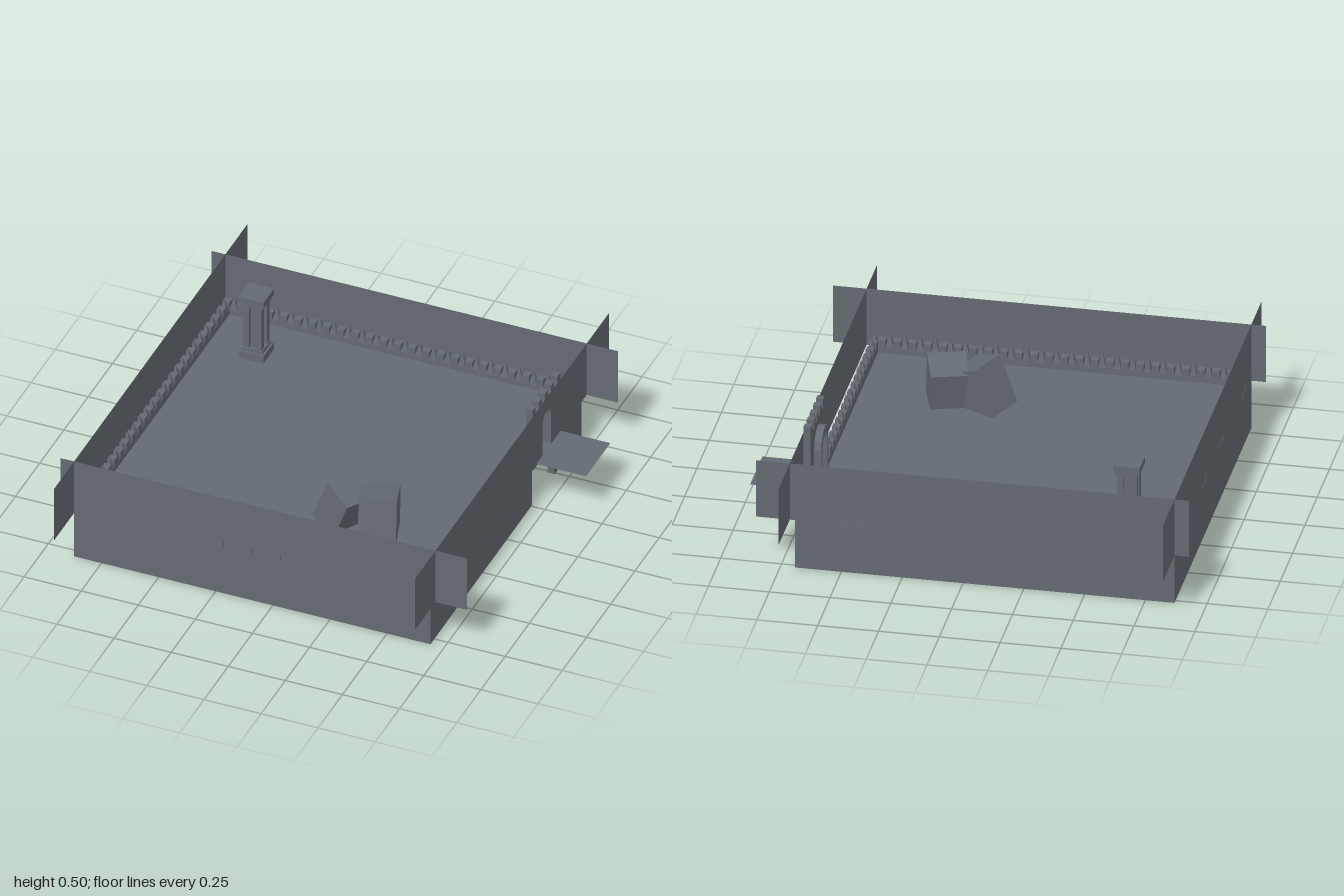
import * as THREE from 'three';
import { mergeGeometries } from 'three/addons/utils/BufferGeometryUtils.js';

const stone = new THREE.MeshStandardMaterial({ color: 0x646a72, flatShading: true, side: THREE.DoubleSide });
stone.name = 'slate stone';

// Outer footprint and levels
const X0 = -0.87, X1 = 0.69, Z0 = -0.77, Z1 = 0.79;
const T = 0.03, FLOOR = 0.2, RIM = 0.225, SILL = 0.215, TOP = 0.47;
const GATE_Z = -0.36;

// Box given by its min and max corners
function box(x0, x1, y0, y1, z0, z1) {
  return new THREE.BoxGeometry(x1 - x0, y1 - y0, z1 - z0)
    .translate((x0 + x1) / 2, (y0 + y1) / 2, (z0 + z1) / 2);
}

// Points of the arched doorway, u across, faceted top
function archPoints(half, spring, bottom, centre) {
  const pts = [[centre - half, bottom]];
  for (let i = 0; i <= 6; i++) {
    const a = Math.PI - (i * Math.PI) / 6;
    pts.push([centre + half * Math.cos(a), spring + half * Math.sin(a)]);
  }
  pts.push([centre + half, bottom]);
  return pts.map(([u, v]) => new THREE.Vector2(u, v));
}

// Rectangle outline with the doorway cut from its lower edge
function doorWallShape(u0, u1, bottom, top) {
  return new THREE.Shape([
    new THREE.Vector2(u0, bottom),
    ...archPoints(0.048, 0.362, bottom, -GATE_Z),
    new THREE.Vector2(u1, bottom),
    new THREE.Vector2(u1, top),
    new THREE.Vector2(u0, top),
  ]);
}

export function createModel() {
  const group = new THREE.Group();
  const add = (name, geometry) => {
    const mesh = new THREE.Mesh(geometry, stone);
    mesh.name = name;
    group.add(mesh);
    return mesh;
  };

  // Floor and entrance landing
  add('floor', new THREE.PlaneGeometry(X1 - X0 - T, Z1 - Z0 - T).rotateX(-Math.PI / 2)
    .translate((X0 + X1) / 2, FLOOR, (Z0 + Z1) / 2));
  add('landing', new THREE.PlaneGeometry(0.25, 0.25).rotateX(-Math.PI / 2)
    .translate(0.805, SILL, -0.375));

  // Low foundation walls, open under the landing
  add('foundation', mergeGeometries([
    box(X0, X1, 0, RIM, Z1 - T, Z1),
    box(X0, X1, 0, RIM, Z0, Z0 + T),
    box(X0, X0 + T, 0, RIM, Z0 + T, Z1 - T),
    box(X1 - T, X1, 0, RIM, -0.255, Z1 - T),
    box(X1 - T, X1, 0, RIM, Z0 + T, -0.49),
  ]));

  // Rim of alternating blocks and spikes
  const teeth = [];
  const count = 49, step = (X1 - X0 - T) / count;
  const tooth = (x, z, i) => {
    if (i % 2 === 0) {
      teeth.push(box(x - step / 2, x + step / 2, RIM, 0.258, z - step / 2, z + step / 2).toNonIndexed());
    } else {
      const spike = new THREE.ConeGeometry(step / Math.SQRT2, 0.06, 4).rotateY(Math.PI / 4);
      teeth.push(spike.translate(x, RIM + 0.03, z).toNonIndexed());
    }
  };
  for (let i = 0; i <= count; i++) {
    const x = X0 + T / 2 + i * step, z = Z0 + T / 2 + i * step;
    tooth(x, Z0 + T / 2, i);
    tooth(x, Z1 - T / 2, i);
    if (i === 0 || i === count) continue;
    tooth(X0 + T / 2, z, i);
    if (z > -0.22 || z < -0.51) tooth(X1 - T / 2, z, i);
  }
  add('rimTeeth', mergeGeometries(teeth));

  // Thin upper walls that cross at the corners
  for (const [name, z] of [['frontWall', Z1], ['backWall', Z0]]) {
    add(name, new THREE.PlaneGeometry(1.78, TOP - SILL)
      .rotateY(z > 0 ? 0 : Math.PI).translate(-0.04, (TOP + SILL) / 2, z));
  }
  add('rightWall', new THREE.PlaneGeometry(2, TOP - SILL).rotateY(-Math.PI / 2)
    .translate(X0, (TOP + SILL) / 2, 0));
  add('leftWall', new THREE.ShapeGeometry(doorWallShape(-1, 1, SILL, TOP))
    .rotateY(Math.PI / 2).translate(0.712, 0, 0));

  // Gatehouse slab, its merlons and inner arch moulding
  const extrude = (shape, x) => new THREE.ExtrudeGeometry(shape, { depth: 0.03, bevelEnabled: false })
    .rotateY(Math.PI / 2).translate(x, 0, 0);
  add('gate', extrude(doorWallShape(0.22, 0.505, FLOOR, TOP), 0.68));
  for (let i = 0; i < 5; i++) {
    const z = GATE_Z + (i - 2) * 0.0635;
    add('gateMerlon', box(0.68, 0.71, TOP, 0.5, z - 0.0155, z + 0.0155));
  }
  add('gateArch', extrude(new THREE.Shape([
    ...archPoints(0.075, 0.362, FLOOR, -GATE_Z),
    ...archPoints(0.048, 0.362, FLOOR, -GATE_Z).reverse(),
  ]), 0.65));

  // Pillar with four corner shafts around a core
  const pillar = new THREE.Group();
  pillar.name = 'pillar';
  pillar.position.set(-0.635, 0, -0.535);
  group.add(pillar);
  const part = (name, h, y0, y1, x = 0, z = 0) =>
    pillar.add(add(name, box(x - h, x + h, y0, y1, z - h, z + h)));
  part('pillarBase', 0.055, FLOOR, 0.235);
  part('pillarBaseStep', 0.046, 0.235, 0.25);
  part('pillarCore', 0.026, 0.25, 0.455);
  for (const sx of [-1, 1]) for (const sz of [-1, 1]) {
    part('pillarShaft', 0.013, 0.25, 0.455, sx * 0.028, sz * 0.028);
  }
  part('pillarCapStep', 0.046, 0.455, 0.47);
  part('pillarCap', 0.055, 0.47, 0.5);

  // Two tilted boulders sunk through the floor
  const boulder = (x, y, z, size, pitch, yaw, roll) => {
    const mesh = add('boulder', new THREE.BoxGeometry(...size));
    mesh.position.set(x, y, z);
    mesh.rotation.set(pitch, yaw, roll, 'YXZ');
  };
  boulder(0.15, 0.28, 0.4, [0.14, 0.21, 0.16], -0.08, -0.48, -0.38);
  boulder(0.3, 0.28, 0.4, [0.155, 0.2, 0.16], -0.2, 0.3, 0);

  return group;
}
